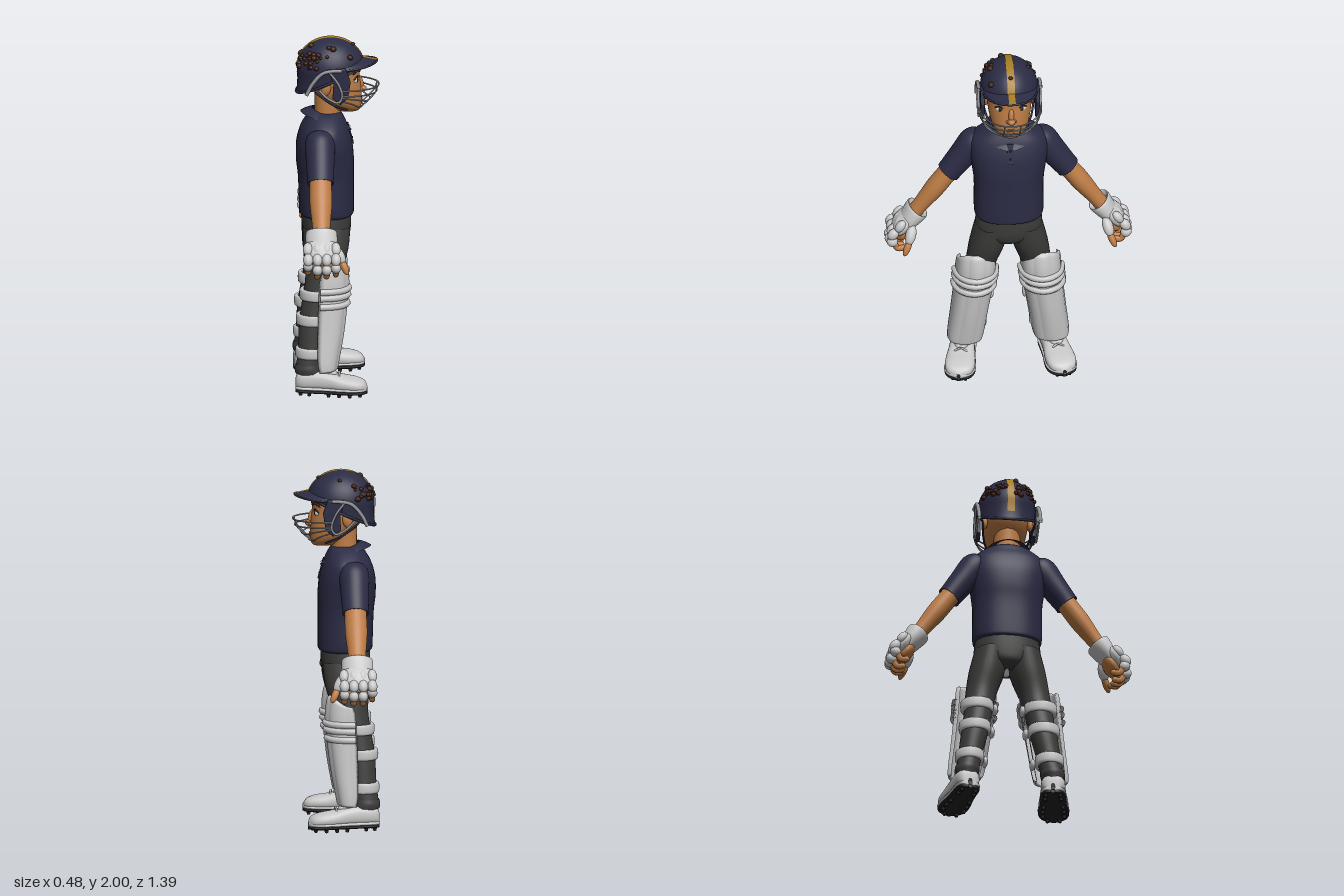
import * as THREE from 'three';
import { mergeVertices } from 'three/addons/utils/BufferGeometryUtils.js';

const mat = (name, color) => {
  const m = new THREE.MeshStandardMaterial({ color, side: THREE.DoubleSide });
  m.name = name;
  return m;
};
const navy = mat('navy', 0x2b2b45), skin = mat('skin', 0xbd7c45), white = mat('padWhite', 0xcacaca),
  grey = mat('trouserGrey', 0x3b3b3a), gold = mat('gold', 0xa57c22), brown = mat('brown', 0x3c2014),
  steel = mat('steel', 0x929296), black = mat('soleBlack', 0x222224), eyeWhite = mat('eyeWhite', 0xe4e2dc),
  lip = mat('lip', 0x96553a);

function add(parent, name, geo, material, pos = [0, 0, 0], scale = [1, 1, 1], rot = [0, 0, 0]) {
  const m = new THREE.Mesh(geo, material);
  m.name = name;
  m.position.set(...pos); m.scale.set(...scale); m.rotation.set(...rot);
  parent.add(m);
}

// Smooth surface from a rule fn(u, v) -> [x, y, z]; shared corners are welded
function grid(nu, nv, fn) {
  const p = [], idx = [], w = nu + 1;
  for (let j = 0; j <= nv; j++) for (let i = 0; i <= nu; i++) p.push(...fn(i / nu, j / nv));
  for (let j = 0; j < nv; j++) for (let i = 0; i < nu; i++) {
    const a = j * w + i;
    idx.push(a, a + 1, a + w, a + 1, a + w + 1, a + w);
  }
  let g = new THREE.BufferGeometry();
  g.setAttribute('position', new THREE.Float32BufferAttribute(p, 3));
  g.setIndex(idx);
  g = mergeVertices(g, 1e-5);
  g.computeVertexNormals();
  return g;
}

// Catmull-Rom sampling of a table of rows
function sample(rows, t) {
  const f = t * (rows.length - 1), i = Math.min(Math.floor(f), rows.length - 2), s = f - i;
  const r = k => rows[Math.max(0, Math.min(rows.length - 1, k))];
  return rows[i].map((_, c) => {
    const a = r(i - 1)[c], b = r(i)[c], d = r(i + 1)[c], e = r(i + 2)[c];
    return b + 0.5 * s * (d - a + s * (2 * a - 5 * b + 4 * d - e + s * (3 * (b - d) + e - a)));
  });
}
const pw = (v, e) => Math.sign(v) * Math.abs(v) ** e;

// Stack of rounded rings, bottom to top; row = [centre x, y, back z, front z, half width]
const loft = (rows, square = 1, n = 32) => grid(n, (rows.length - 1) * 4, (u, v) => {
  const [x, y, z0, z1, rx] = sample(rows, v), a = u * Math.PI * 2;
  return [x + Math.max(rx, 0) * pw(Math.sin(a), square), y, (z0 + z1) / 2 + (z1 - z0) / 2 * pw(Math.cos(a), square)];
});
const tube = (pts, r, seg = 24) => new THREE.TubeGeometry(
  new THREE.CatmullRomCurve3(pts.map(p => new THREE.Vector3(...p))), seg, r, 7);
const ball = new THREE.SphereGeometry(1, 16, 10), pebble = new THREE.SphereGeometry(1, 9, 6);

function buildBody(g) {
  add(g, 'shirt', loft([[0, 0.985, -0.16, 0.06, 0.15], [0, 0.99, -0.2, 0.095, 0.185], [0, 1.03, -0.207, 0.1, 0.195],
    [0, 1.2, -0.213, 0.1, 0.195], [0, 1.3, -0.224, 0.1, 0.207], [0, 1.4, -0.222, 0.09, 0.222], [0, 1.48, -0.2, 0.068, 0.212],
    [0, 1.53, -0.172, 0.048, 0.165], [0, 1.57, -0.145, 0.025, 0.1], [0, 1.575, -0.1, 0, 0.05]], 0.85, 48), navy);
  // Open collar with pointed front flaps
  add(g, 'collar', grid(48, 6, (u, v) => {
    const a = 0.12 + u * (Math.PI * 2 - 0.24), f = (1 + Math.cos(a)) / 2, r = 0.082 + 0.05 * (1 - v);
    return [r * Math.sin(a), 1.575 - 0.035 * Math.cos(a) - (1 - v) * (0.035 + 0.035 * f ** 3) - 0.01 * v * v,
      -0.055 + (r + 0.012 * (1 - v)) * Math.cos(a)];
  }), navy);
  add(g, 'placket', new THREE.BoxGeometry(0.036, 0.12, 0.008), navy, [0, 1.445, 0.08], [1, 1, 1], [-0.26, 0, 0]);
  for (const y of [1.42, 1.465]) add(g, 'button', ball, black, [0, y, 0.0835 - (y - 1.45) * 0.26], [0.006, 0.006, 0.004]);
  add(g, 'hips', loft([[0, 0.815, -0.12, 0, 0.02], [0, 0.84, -0.18, 0.06, 0.12], [0, 0.9, -0.192, 0.083, 0.185],
    [0, 1.0, -0.195, 0.083, 0.18]], 0.9), grey);
  add(g, 'neck', loft([[0, 1.48, -0.13, 0.03, 0.085], [0, 1.56, -0.12, 0.025, 0.075], [0, 1.68, -0.12, 0.04, 0.075]]), skin);
}

function buildHead(g) {
  add(g, 'head', loft([[0, 1.575, 0.05, 0.09, 0], [0, 1.58, 0.01, 0.125, 0.045], [0, 1.605, -0.03, 0.14, 0.08],
    [0, 1.65, -0.09, 0.143, 0.106], [0, 1.72, -0.15, 0.14, 0.121], [0, 1.79, -0.17, 0.132, 0.126],
    [0, 1.87, -0.18, 0.135, 0.126], [0, 1.93, -0.14, 0.09, 0.09], [0, 1.96, -0.04, -0.02, 0]], 0.92, 40), skin);
  add(g, 'noseBridge', ball, skin, [0, 1.735, 0.136], [0.016, 0.045, 0.018], [-0.2, 0, 0]);
  add(g, 'noseTip', ball, skin, [0, 1.703, 0.148], [0.022, 0.018, 0.024]);
  add(g, 'mouth', tube([[-0.036, 1.651, 0.131], [0, 1.646, 0.144], [0.036, 1.651, 0.131]], 0.005), lip);
  add(g, 'lowerLip', ball, skin, [0, 1.635, 0.138], [0.026, 0.009, 0.01]);
  for (const s of [-1, 1]) {
    add(g, 'nostril', ball, skin, [s * 0.018, 1.7, 0.138], [0.012, 0.011, 0.014]);
    add(g, 'eye', ball, eyeWhite, [s * 0.062, 1.768, 0.108], [0.025, 0.018, 0.012], [0, s * 0.35, 0]);
    add(g, 'iris', ball, brown, [s * 0.061, 1.768, 0.117], [0.012, 0.014, 0.005], [0, s * 0.35, 0]);
    add(g, 'pupil', ball, black, [s * 0.061, 1.768, 0.1205], [0.006, 0.007, 0.003], [0, s * 0.35, 0]);
    add(g, 'upperLid', tube([[s * 0.036, 1.772, 0.122], [s * 0.062, 1.789, 0.119], [s * 0.089, 1.773, 0.098]], 0.004), black);
    add(g, 'eyebrow', tube([[s * 0.03, 1.812, 0.13], [s * 0.065, 1.824, 0.119], [s * 0.098, 1.811, 0.092]], 0.007), brown);
    add(g, 'ear', ball, skin, [s * 0.128, 1.735, -0.06], [0.018, 0.042, 0.028], [0.15, 0, 0]);
  }
}

// Point on the helmet shell: a = heading from the front, b = angle down from the crown
function shell(a, b, off = 0) {
  const down = Math.max(0, b - Math.PI / 2), r = (b < Math.PI / 2 ? Math.sin(b) : 1 - 0.12 * down + 0.2 * down * down);
  return [(0.163 + off) * r * Math.sin(a), 1.82 + (0.18 + off) * (down ? -down : Math.cos(b)),
    -0.03 + (0.19 + off) * r * Math.cos(a)];
}
const peakPoint = (a, v, off = 0) => {
  const [x, y, z] = shell(a, 1.2);
  const c = Math.cos(a * 1.15);
  return [x * (1 + 0.05 * v), y - 0.018 * v - 0.025 * Math.sin(a) ** 2 + off, z + v * 0.083 * Math.max(c, 0) ** 0.45];
};

function buildHelmet(g) {
  const rim = a => 1.32 + 0.97 * (1 - Math.cos(a)) / 2;
  add(g, 'helmetShell', grid(48, 24, (u, v) => shell(u * Math.PI * 2, (1 - v) * rim(u * Math.PI * 2))), navy);
  add(g, 'helmetRim', tube(Array.from({ length: 41 }, (_, i) => {
    const a = i / 40 * Math.PI * 2;
    return shell(a, rim(a));
  }), 0.008, 72), navy);
  add(g, 'peak', grid(32, 6, (u, v) => peakPoint((0.5 - u) * 2.5, v)), navy);
  add(g, 'peakEdge', tube(Array.from({ length: 17 }, (_, i) => peakPoint((i / 16 - 0.5) * 2.5, 1)), 0.006, 40), navy);
  // Gold stripe from the nape over the crown to the peak
  add(g, 'crownStripe', grid(4, 40, (u, v) => {
    const b = 1.2 - v * 3.2, x = (u - 0.5) * 0.042, [, y, z] = shell(0, Math.abs(b), 0.004);
    return [x, y - 0.0012 * Math.abs(u - 0.5), b < 0 ? -0.06 - z : z];
  }), gold);
  add(g, 'peakStripe', grid(4, 6, (u, v) => peakPoint((0.5 - u) * 0.24, v, 0.005)), gold);
  // Brown clumps scattered round the back
  let seed = 7;
  const rnd = () => (seed = (seed * 16807) % 2147483647) / 2147483647;
  for (let i = 0; i < 54; i++) {
    const side = i % 2 ? 1 : -1, r = 0.008 + rnd() * 0.011;
    const p = i < 48 ? shell(Math.PI + side * (0.15 + rnd() * 1.05), 0.92 + rnd() * 0.5) : shell(rnd() * 6.28, 0.45 + rnd() * 0.6);
    add(g, 'clump', pebble, brown, p, [r, r * 0.9, r]);
  }
  add(g, 'clump', pebble, brown, shell(0, 0.7, 0.003), [0.013, 0.01, 0.014]);
  // Side guards with steel brackets
  const plate = new THREE.Shape([[-0.05, 0.1], [0.035, 0.1], [0.06, 0.03], [0.045, -0.06], [0.01, -0.09], [-0.025, -0.06],
    [-0.02, 0.02]].map(p => new THREE.Vector2(...p)));
  const guard = new THREE.ExtrudeGeometry(plate, { depth: 0.012, bevelSize: 0.008, bevelThickness: 0.006, bevelSegments: 3 });
  for (const s of [-1, 1]) {
    add(g, 'sideGuard', guard, navy, [s * 0.155 + 0.006, 1.75, 0.01], [1, 1, 1], [0, -Math.PI / 2, 0]);
    const X = s * 0.173;
    add(g, 'bracketBand', tube([[X, 1.71, -0.17], [X, 1.77, -0.14], [X, 1.835, -0.08], [X, 1.85, -0.01], [X, 1.85, 0.03]], 0.011), steel);
    add(g, 'bracketFrame', tube([[X, 1.84, -0.04], [X, 1.77, 0.01], [X, 1.7, 0.03], [X, 1.665, 0.01], [X, 1.69, -0.05],
      [X, 1.74, -0.1]], 0.007), steel);
    add(g, 'chinStrap', tube([[s * 0.15, 1.72, -0.12], [s * 0.125, 1.64, -0.02], [s * 0.09, 1.6, 0.06]], 0.006), navy);
  }
  // Wire face grille: [end y, front y, front z, half width]
  for (const [ye, yf, zf, w] of [[1.73, 1.73, 0.24, 0.172], [1.7, 1.695, 0.228, 0.17], [1.69, 1.65, 0.19, 0.168],
    [1.67, 1.612, 0.15, 0.16]])
    add(g, 'grilleBar', tube([[-w, ye, 0.03], [-w * 0.88, ye * 0.6 + yf * 0.4, 0.03 + (zf - 0.03) * 0.5], [-w * 0.45, yf, zf - 0.02],
      [0, yf, zf], [w * 0.45, yf, zf - 0.02], [w * 0.88, ye * 0.6 + yf * 0.4, 0.03 + (zf - 0.03) * 0.5], [w, ye, 0.03]], 0.0045, 40), steel);
  for (const x of [-0.045, 0.045])
    add(g, 'grilleUpright', tube([[x, 1.73, 0.231], [x, 1.695, 0.22], [x, 1.65, 0.182], [x, 1.612, 0.142]], 0.0045), steel);
}

function buildArm(g) {
  const arm = new THREE.Group();
  arm.name = 'arm';
  arm.position.set(0.19, 1.435, -0.095);
  arm.rotation.z = 0.64;
  g.add(arm);
  const rings = rows => loft(rows.map(([y, rx, rz]) => [0, y, -rz, rz, rx]));
  add(arm, 'sleeve', rings([[-0.225, 0.05, 0.05], [-0.242, 0.067, 0.072], [-0.22, 0.068, 0.074], [-0.1, 0.077, 0.08],
    [0, 0.084, 0.083], [0.055, 0.055, 0.06], [0.075, 0, 0]]), navy);
  add(arm, 'forearm', rings([[-0.6, 0.042, 0.046], [-0.5, 0.044, 0.05], [-0.37, 0.055, 0.062], [-0.28, 0.055, 0.062],
    [-0.19, 0.055, 0.06]]), skin);
  add(arm, 'gloveCuff', rings([[-0.66, 0.045, 0.075], [-0.6, 0.058, 0.087], [-0.545, 0.067, 0.088], [-0.53, 0.062, 0.08],
    [-0.55, 0.045, 0.05]]), white);
  add(arm, 'gloveBack', ball, white, [0.018, -0.655, 0], [0.046, 0.085, 0.1]);
  add(arm, 'palm', ball, skin, [-0.022, -0.68, 0], [0.036, 0.075, 0.08]);
  // Padded finger rolls, curling inward
  for (let i = 0; i < 4; i++) {
    const z = -0.078 + i * 0.052, d = [0.025, 0, 0, 0.012][i];
    for (const [x, y, rx, ry] of [[0.04, -0.65, 0.026, 0.04], [0.042, -0.715, 0.029, 0.038], [0.018, -0.768 + d, 0.032, 0.03]])
      add(arm, 'fingerPad', ball, white, [x, y, z], [rx, ry, 0.028]);
    add(arm, 'finger', tube([[0.01, -0.765 + d, z], [-0.03, -0.785 + d, z], [-0.058, -0.765 + d, z]], 0.018, 10), skin);
    add(arm, 'fingertip', ball, skin, [-0.058, -0.765 + d, z], [0.018, 0.018, 0.018]);
  }
  add(arm, 'thumbPad', ball, white, [-0.035, -0.655, 0.095], [0.03, 0.06, 0.032], [-0.55, 0, -0.3]);
  add(arm, 'thumb', ball, skin, [-0.055, -0.715, 0.125], [0.02, 0.055, 0.021], [-0.4, 0, -0.2]);
}

function buildLeg(g) {
  add(g, 'trouserLeg', loft([[0.245, 0.11, -0.225, -0.09, 0.058], [0.24, 0.15, -0.23, -0.095, 0.064], [0.222, 0.26, -0.218, -0.07, 0.067],
    [0.195, 0.4, -0.212, -0.06, 0.076], [0.175, 0.52, -0.195, -0.03, 0.078], [0.152, 0.66, -0.175, 0.02, 0.086],
    [0.118, 0.8, -0.187, 0.065, 0.1], [0.096, 0.93, -0.19, 0.078, 0.09]], 0.95), grey);
  // Shin pad: ribbed shell; row = [centre x, y, side z, front z, half width]
  const rows = [[0.243, 0.14, -0.1, 0.0, 0.098], [0.235, 0.2, -0.11, 0.012, 0.105], [0.215, 0.35, -0.11, 0.038, 0.108],
    [0.19, 0.54, -0.105, 0.06, 0.114], [0.182, 0.65, -0.1, 0.066, 0.114], [0.18, 0.755, -0.085, 0.052, 0.108]];
  const onPad = (a, t, k) => {
    const [x, y, z0, z1, w] = sample(rows, t);
    return [x + w * k * Math.sin(a), y - 0.055 * Math.sin(a) ** 4 * Math.max(0, t - 0.8) * 5,
      z0 + (z1 - z0) * k * Math.max(Math.cos(a), 0) ** 0.8];
  };
  add(g, 'shinPad', grid(80, 32, (u, v) => {
    const outer = u < 0.7, a = outer ? (u / 0.7 - 0.5) * Math.PI : (0.5 - (u - 0.7) / 0.3) * Math.PI;
    const edge = Math.min(1, Math.min(v, 1 - v) * 14), bulge = 0.98 + 0.04 * Math.abs(Math.cos(3.5 * a));
    const end = Math.sqrt(1 - (1 - edge) ** 2);
    return onPad(a, v, 0.9 + (outer ? bulge - 0.9 : -0.1) * end);
  }), white);
  for (const t of [0.57, 0.635, 0.7])
    add(g, 'kneeRoll', tube(Array.from({ length: 15 }, (_, i) => onPad((i / 14 - 0.5) * 3.1, t, 1.01)), 0.018, 32), white);
  // Straps round the calf with inner fasteners
  for (const [x, y, z0, z1, rx] of [[0.18, 0.565, -0.207, -0.03, 0.091], [0.195, 0.425, -0.227, -0.05, 0.088],
    [0.226, 0.24, -0.232, -0.06, 0.08]]) {
    add(g, 'strap', loft([[x, y - 0.028, z0 + 0.02, z1, rx - 0.02], [x, y - 0.026, z0, z1, rx], [x, y + 0.026, z0, z1, rx],
      [x, y + 0.028, z0 + 0.02, z1, rx - 0.02]]), white);
    add(g, 'fastener', ball, white, [x - rx - 0.012, y - 0.01, -0.115], [0.016, 0.033, 0.036]);
  }
  add(g, 'ankleCuff', loft([[0.245, 0.125, -0.234, -0.08, 0.066], [0.242, 0.15, -0.238, -0.085, 0.07], [0.24, 0.175, -0.232, -0.085, 0.066]]), grey);

  const shoe = new THREE.Group();
  shoe.name = 'shoe';
  shoe.position.set(0.25, 0, -0.13);
  shoe.rotation.y = 0.16;
  g.add(shoe);
  // Shoe length profile: [z, half width, top y]
  const prof = [[-0.102, 0.01, 0.07], [-0.095, 0.045, 0.12], [-0.06, 0.066, 0.138], [0.02, 0.07, 0.145], [0.09, 0.074, 0.135],
    [0.16, 0.083, 0.115], [0.23, 0.083, 0.103], [0.28, 0.06, 0.085], [0.302, 0.008, 0.055]];
  const hull = (grow, y0, top) => grid(24, 32, (u, v) => {
    const [z, w, h] = sample(prof, v), a = u * Math.PI * 2, y1 = top || h;
    return [(Math.max(w, 0) + grow) * pw(Math.cos(a), 0.7), (y0 + y1) / 2 + (y1 - y0) / 2 * pw(Math.sin(a), 0.8), z];
  });
  add(shoe, 'shoeUpper', hull(0, 0.03), white);
  add(shoe, 'midsole', hull(0.004, 0.03, 0.056), white);
  add(shoe, 'outsole', hull(0.002, 0.014, 0.036), black);
  for (const [z, w] of [[-0.07, 0.04], [-0.02, 0.045], [0.09, 0.055], [0.15, 0.06], [0.21, 0.06], [0.265, 0.035]])
    for (const s of [-1, 1]) add(shoe, 'cleat', new THREE.CylinderGeometry(0.013, 0.009, 0.02, 10), black, [s * w, 0.01, z]);
  add(shoe, 'tongue', ball, white, [0, 0.137, 0.075], [0.045, 0.02, 0.06], [0.25, 0, 0]);
  for (const z of [0.085, 0.115, 0.145])
    add(shoe, 'lace', tube([[-0.045, 0.118 - z * 0.1, z], [0, 0.163 - z * 0.2, z], [0.045, 0.118 - z * 0.1, z]], 0.006, 12), white);
}

export function createModel() {
  const root = new THREE.Group(), figure = new THREE.Group();
  root.name = 'batter';
  figure.name = 'figure';
  figure.rotation.y = Math.PI / 2; // the figure looks along +x
  root.add(figure);
  buildBody(figure);
  buildHead(figure);
  buildHelmet(figure);
  for (const s of [1, -1]) {
    const limbs = new THREE.Group();
    limbs.name = s > 0 ? 'limbs' : 'mirroredLimbs';
    limbs.scale.x = s;
    buildArm(limbs);
    buildLeg(limbs);
    figure.add(limbs);
  }
  return root;
}
